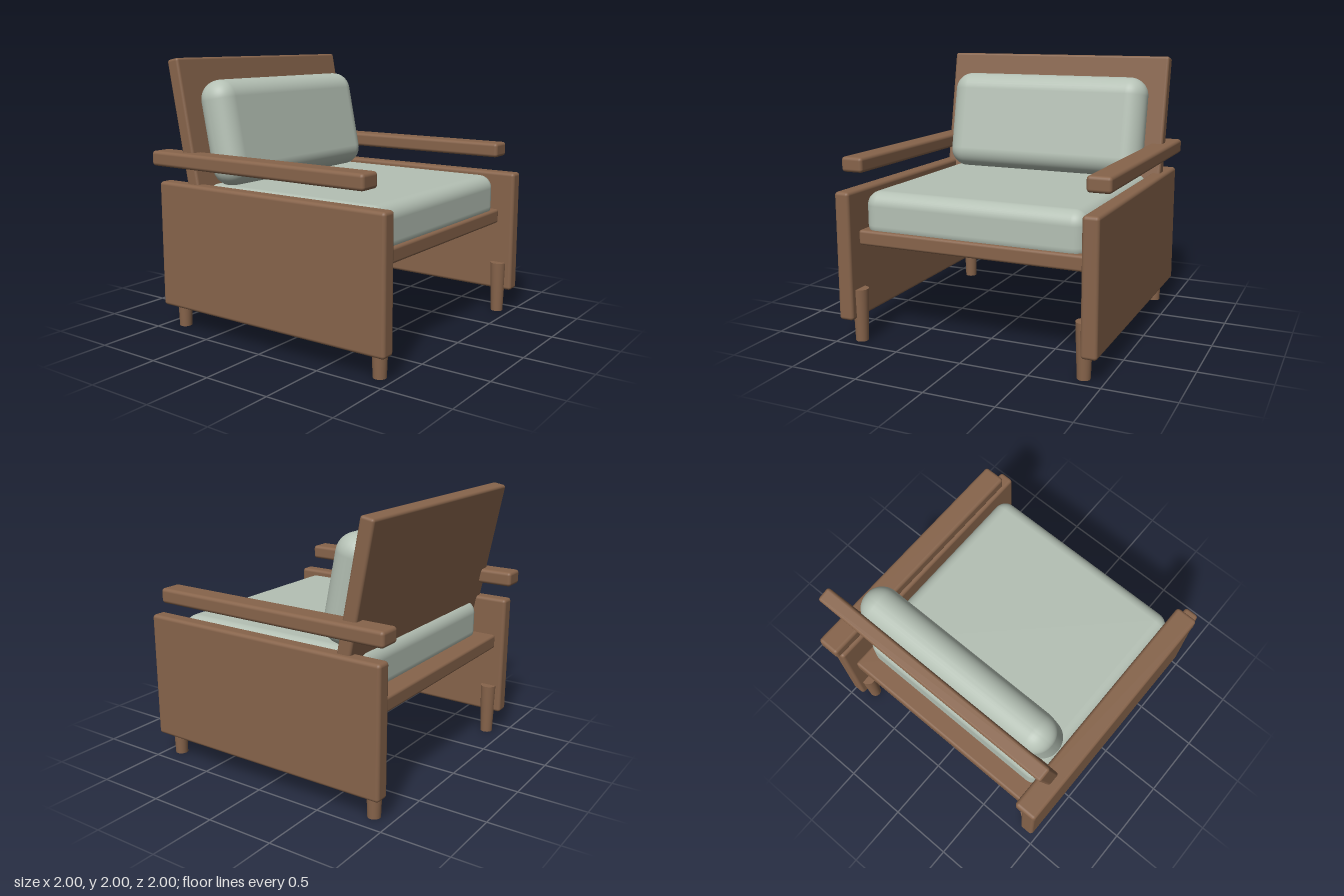
import * as THREE from 'three';
import { RoundedBoxGeometry } from 'three/addons/geometries/RoundedBoxGeometry.js';

export function createModel() {
  const group = new THREE.Group();
  const wood = new THREE.MeshStandardMaterial({ color: 0x87644b });
  const fabric = new THREE.MeshStandardMaterial({ color: 0xb4c0b4 });

  const add = (name, geometry, material, x, y, z, tilt = 0) => {
    const mesh = new THREE.Mesh(geometry, material);
    mesh.name = name;
    mesh.position.set(x, y, z);
    mesh.rotation.x = tilt;
    group.add(mesh);
    return mesh;
  };
  const board = (w, h, d, r) => new RoundedBoxGeometry(w, h, d, 3, r);
  const cushion = (w, h, d, r) => new RoundedBoxGeometry(w, h, d, 6, r);

  // Seat platform and leaning back panel
  add('seatBoard', board(1.72, 0.11, 1.77, 0.02), wood, 0, 0.76, -0.005);
  add('backrestBoard', board(1.86, 1.17, 0.105, 0.02), wood, 0, 1.415, -0.72, -0.19);

  // Cushions; the seat cushion sinks slightly into the platform
  add('seatCushion', cushion(1.66, 0.34, 1.61, 0.1), fabric, 0, 0.92, 0.055);
  add('backCushion', cushion(1.63, 0.77, 0.29, 0.14), fabric, 0, 1.46, -0.552, -0.2);

  // Mirrored side panels, armrests and tapered legs
  const panel = board(0.115, 0.935, 1.96, 0.025);
  const arm = board(0.17, 0.11, 1.86, 0.025);
  const leg = new THREE.CylinderGeometry(0.06, 0.046, 0.39, 20);
  for (const [side, s] of [['left', 1], ['right', -1]]) {
    add(side + 'SidePanel', panel, wood, s * 0.9125, 0.6375, 0.02);
    add(side + 'Armrest', arm, wood, s * 0.915, 1.275, -0.07);
    add(side + 'FrontLeg', leg, wood, s * 0.85, 0.195, 0.893);
    add(side + 'BackLeg', leg, wood, s * 0.85, 0.195, -0.857);
  }
  return group;
}
